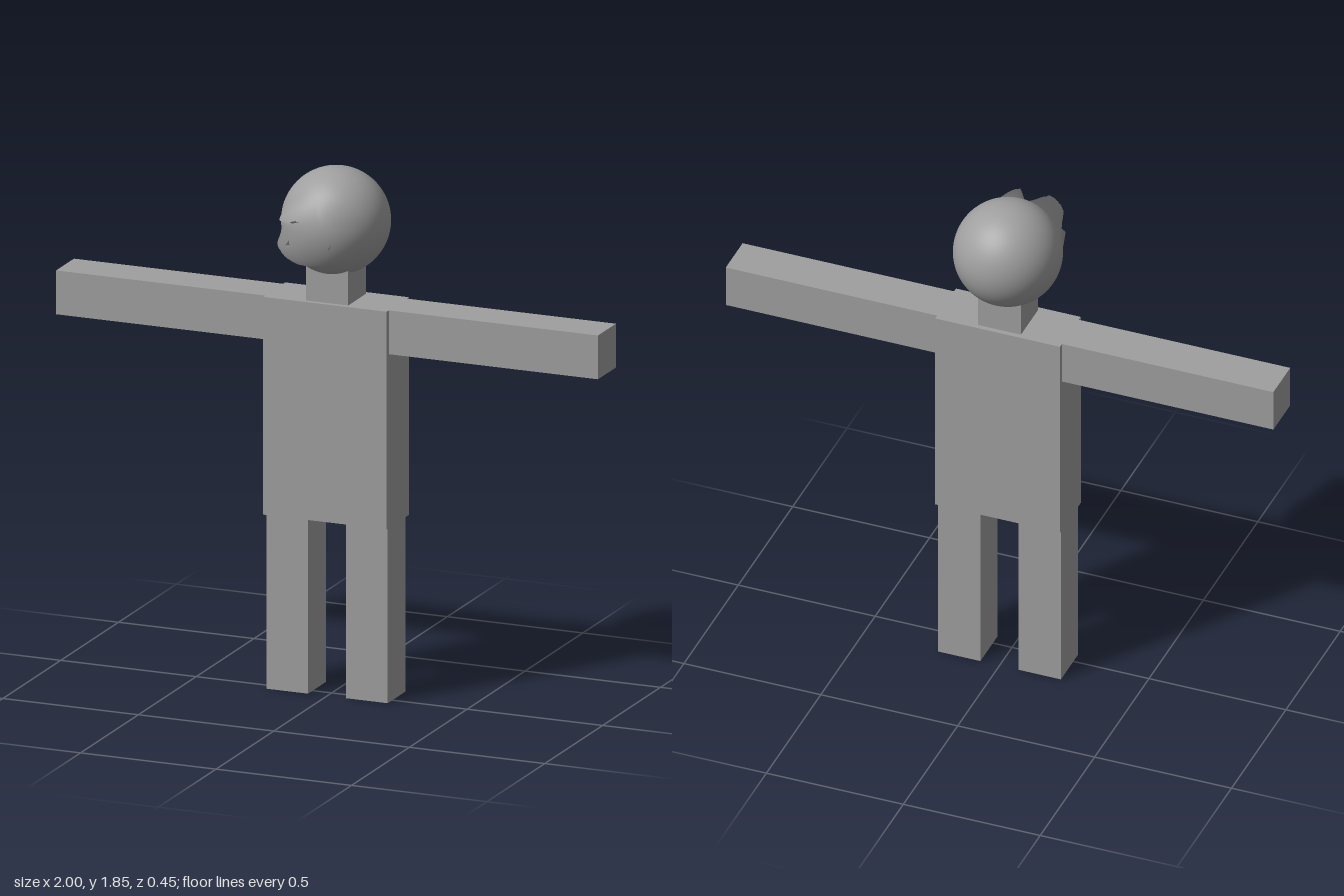
import * as THREE from 'three';

const grey = new THREE.MeshStandardMaterial({ color: 0x9f9f9f });
grey.name = 'plain grey';

// Box given by its lower and upper corners
function box(name, [x0, y0, z0], [x1, y1, z1]) {
  const geometry = new THREE.BoxGeometry(x1 - x0, y1 - y0, z1 - z0);
  const mesh = new THREE.Mesh(geometry, grey);
  mesh.position.set((x0 + x1) / 2, (y0 + y1) / 2, (z0 + z1) / 2);
  mesh.name = name;
  return mesh;
}

// 0 at a, 1 at b, linear between
const ramp = (v, a, b) => THREE.MathUtils.clamp((v - a) / (b - a), 0, 1);

// Ball with a ring of its face pulled forward into a notched, open muzzle.
// Vertices move along z only and keep the ball's soft normals.
function headGeometry() {
  const geometry = new THREE.SphereGeometry(0.187, 96, 72);
  const p = geometry.attributes.position;
  for (let i = 0; i < p.count; i++) {
    const x = Math.abs(p.getX(i)), y = p.getY(i), z = p.getZ(i);
    if (z <= 0) continue;
    const r = Math.hypot(x * 0.75, y);
    const ring = ramp(r, 0.03, 0.07) * ramp(r, 0.122, 0.097);
    const upper = ramp(y, 0.022, 0.05) * ramp(x, 0, 0.055);
    const lower = ramp(y, -0.01, -0.035);
    p.setZ(i, z + 0.095 * ring * Math.max(upper, lower));
  }
  return geometry;
}

export function createModel() {
  const model = new THREE.Group();
  model.name = 'figure';

  // Body
  model.add(box('torso', [-0.228, 0.62, -0.133], [0.228, 1.39, 0.058]));
  model.add(box('neck', [-0.078, 1.39, -0.115], [0.078, 1.52, 0.04]));

  // Limbs
  for (const [side, s] of [['left', 1], ['right', -1]]) {
    const span = (a, b) => (s > 0 ? [a, b] : [-b, -a]);
    const [a0, a1] = span(0.228, 1);
    const [l0, l1] = span(0.07, 0.224);
    model.add(box(side + 'Arm', [a0, 1.235, -0.115], [a1, 1.39, 0.04]));
    model.add(box(side + 'Leg', [l0, 0, -0.115], [l1, 0.62, 0.04]));
  }

  // Head
  const head = new THREE.Mesh(headGeometry(), grey);
  head.name = 'head';
  head.position.set(0, 1.663, -0.038);
  model.add(head);

  return model;
}
